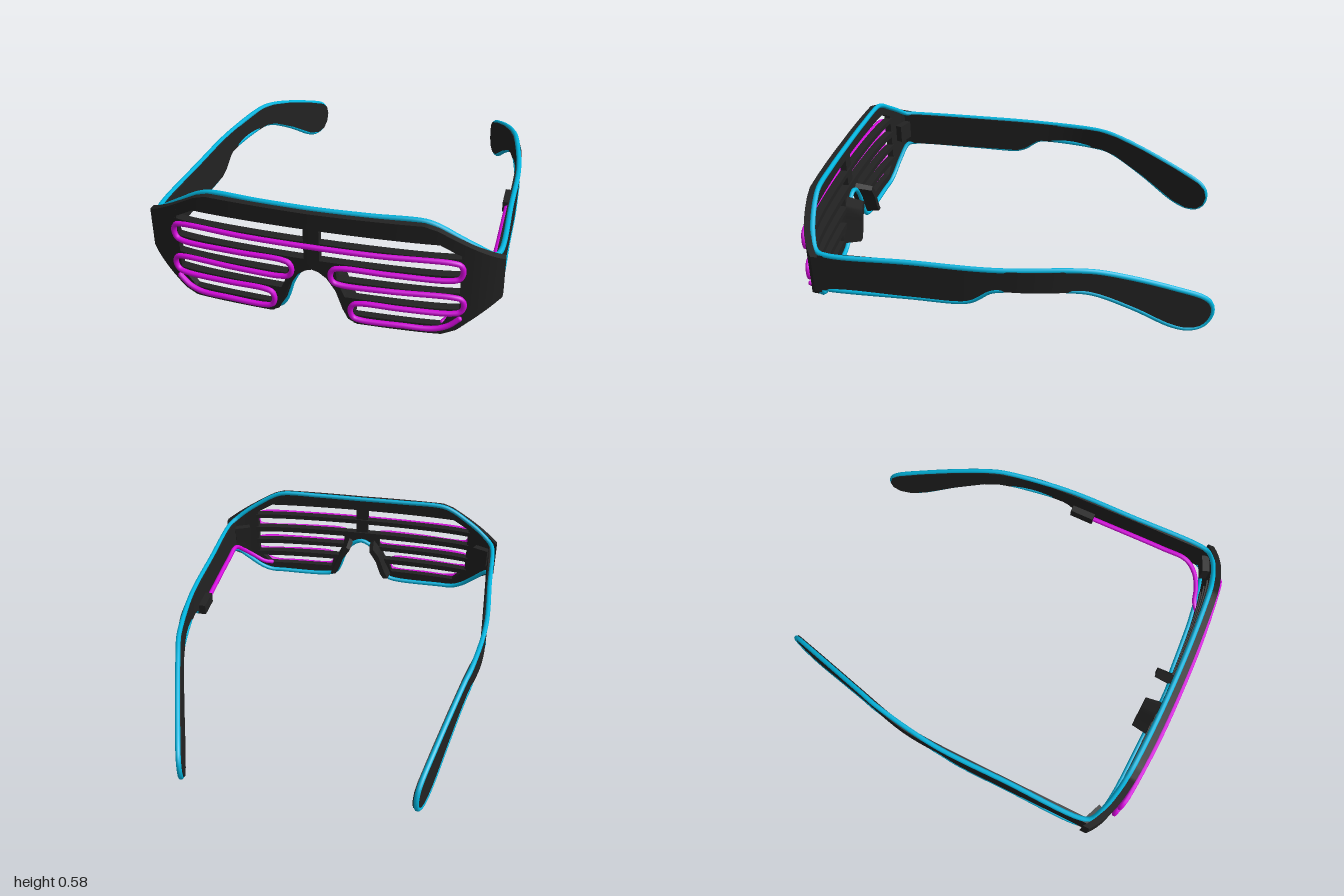
import * as THREE from 'three';
import { toCreasedNormals } from 'three/addons/utils/BufferGeometryUtils.js';

const black = new THREE.MeshStandardMaterial({ color: 0x222222 });
black.name = 'black plastic';
const cyan = new THREE.MeshStandardMaterial({ color: 0x00b6e0 });
cyan.name = 'cyan wire';
const magenta = new THREE.MeshStandardMaterial({ color: 0xd608de });
magenta.name = 'magenta wire';

const V = (x, y, z) => new THREE.Vector3(x, y, z);
// Front surface of the curved frame, and sideways position of a temple
const frontZ = (x) => 0.968 - 0.07 * x * x - 0.4 * x ** 8;
const templeX = (z) => {
  const t = -z - 0.18;
  return 0.783 - 0.15 * (t + Math.sqrt(t * t + 0.02));
};

// Mirrored copy of a point list, in reverse order
const mirror = (pts) => pts.map(([x, ...rest]) => [-x, ...rest]).reverse();
// Polyline across both sides from its right half
const across = (half) => [...mirror(half.filter(([x]) => x > 0)), ...half];

// Height of a left-to-right polyline at x
function heightAt(pts, x) {
  let i = 1;
  while (i < pts.length - 1 && pts[i][0] < x) i++;
  const [[x0, y0], [x1, y1]] = [pts[i - 1], pts[i]];
  return THREE.MathUtils.clamp((x - x0) / (x1 - x0), 0, 1) * (y1 - y0) + y0;
}

// Solid strip between two polylines, built in columns, each corner placed by a rule
function strip(lower, upper, depth, rule) {
  const start = lower[0][0];
  const end = lower[lower.length - 1][0];
  const steps = Math.ceil((end - start) / 0.03);
  const xs = [...lower, ...upper].map(([x]) => x);
  for (let i = 1; i < steps; i++) xs.push(start + ((end - start) * i) / steps);
  const columns = [...new Set(xs)].sort((a, b) => a - b);
  const position = [];
  const index = [];
  columns.forEach((x, i) => {
    const lo = heightAt(lower, x);
    const hi = heightAt(upper, x);
    for (const [y, w] of [[lo, 0], [hi, 0], [hi, depth], [lo, depth]]) position.push(...rule(x, y, w));
    if (i === 0) return;
    for (let k = 0; k < 4; k++) {
      const a = 4 * (i - 1) + k;
      const b = 4 * (i - 1) + ((k + 1) % 4);
      index.push(a, b, a + 4, b, b + 4, a + 4);
    }
  });
  const e = 4 * (columns.length - 1);
  index.push(0, 3, 2, 0, 2, 1, e, e + 1, e + 2, e, e + 2, e + 3);
  const geo = new THREE.BufferGeometry();
  geo.setAttribute('position', new THREE.Float32BufferAttribute(position, 3));
  geo.setIndex(index);
  return toCreasedNormals(geo, 0.6);
}

function add(group, name, geo, mat) {
  const mesh = new THREE.Mesh(geo, mat);
  mesh.name = name;
  group.add(mesh);
  return mesh;
}

function wire(group, name, pts, mat, segments, closed = false) {
  const curve = new THREE.CatmullRomCurve3(pts, closed);
  add(group, name, new THREE.TubeGeometry(curve, segments, 0.0125, 8, closed), mat);
  if (closed) return;
  for (const end of [pts[0], pts[pts.length - 1]]) {
    add(group, name + 'End', new THREE.SphereGeometry(0.0125, 8, 6), mat).position.copy(end);
  }
}

// Temple edges as [z, y]: the top from front to tip, the bottom from tip to front
const templeTop = [
  [0.78, 0.395], [0.4, 0.395], [0, 0.39], [-0.35, 0.39], [-0.45, 0.375], [-0.61, 0.325],
  [-0.8, 0.25], [-0.94, 0.185], [-0.975, 0.15], [-0.987, 0.105],
];
const templeBottom = [
  [-0.987, 0.105], [-0.975, 0.055], [-0.94, 0.02], [-0.88, 0.013], [-0.8, 0.042], [-0.62, 0.16],
  [-0.45, 0.255], [-0.37, 0.278], [0, 0.282], [0.03, 0.272], [0.1, 0.222], [0.15, 0.205],
  [0.4, 0.205], [0.78, 0.205],
];

export function createModel() {
  const model = new THREE.Group();
  model.name = 'shutterGlasses';

  // Curved front frame, assembled from rims, shutters and a bridge
  const frame = new THREE.Group();
  frame.name = 'frontFrame';
  model.add(frame);
  const addBar = (name, lower, upper, depth = 0.034) => add(frame, name,
    strip(lower, upper, depth, (x, y, w) => [x, y, frontZ(x) - depth + w]), black);
  const addBoth = (name, lower, upper, depth) => {
    addBar(name + 'Left', lower, upper, depth);
    addBar(name + 'Right', mirror(lower), mirror(upper), depth);
  };
  addBar('topRim', across([[0, 0.485], [0.55, 0.485], [0.65, 0.43]]),
    across([[0, 0.562], [0.25, 0.565], [0.48, 0.568], [0.54, 0.55], [0.65, 0.49]]));
  addBar('centrePost', [[-0.035, 0.31], [0.035, 0.31]], [[-0.035, 0.49], [0.035, 0.49]]);
  addBar('bridge',
    across([[0, 0.285], [0.03, 0.276], [0.065, 0.25], [0.105, 0.19], [0.135, 0.1], [0.16, 0.05], [0.2, 0.03]]),
    across([[0, 0.32], [0.104, 0.32], [0.112, 0.248], [0.12, 0.222], [0.145, 0.165],
      [0.172, 0.135], [0.19, 0.078], [0.2, 0.078]]));
  for (const [x, lo, hi] of [[0, 0.396, 0.422], [0, 0.304, 0.335], [0.112, 0.222, 0.248], [0.143, 0.135, 0.165]]) {
    addBoth('shutter', [[x, lo], [0.65, lo]], [[x, hi], [0.65, hi]], 0.042);
  }
  addBoth('bottomRim', [[0.185, 0.035], [0.2, 0.03], [0.57, 0.03], [0.63, 0.055], [0.65, 0.07]],
    [[0.185, 0.078], [0.57, 0.078], [0.62, 0.135], [0.65, 0.15]]);
  addBoth('endPiece', [[0.64, 0.063], [0.71, 0.122], [0.812, 0.205]],
    [[0.64, 0.495], [0.7, 0.462], [0.812, 0.398]]);

  // Temples, hinges and nose pads on both sides
  const alongTemple = (pts) => pts.map(([z, y]) => [-z, y]);
  const topEdge = alongTemple([[0.85, 0.395], ...templeTop]);
  const bottomEdge = alongTemple([...templeBottom, [0.85, 0.205]]).reverse();
  const padLower = [[0.05, 0.27], [0.1, 0.19], [0.13, 0.1], [0.155, 0.06], [0.187, 0.06]];
  const padUpper = [[0.05, 0.27], [0.075, 0.29], [0.115, 0.24], [0.155, 0.13], [0.187, 0.06]];
  for (const s of [1, -1]) {
    const side = s > 0 ? 'left' : 'right';
    add(model, side + 'Temple', strip(bottomEdge, topEdge, 0.026,
      (u, v, w) => [s * templeX(-u) + w - 0.013, v, -u]), black);

    const hinge = add(model, side + 'Hinge', new THREE.BoxGeometry(0.09, 0.1, 0.05), black);
    hinge.position.set(s * 0.73, 0.3, 0.85);
    hinge.rotation.y = s * 0.4;

    const [lower, upper] = s > 0 ? [padLower, padUpper] : [mirror(padLower), mirror(padUpper)];
    add(model, side + 'NosePad', strip(lower, upper, 0.1, (x, y, w) => {
      const k = 0.85 + 1.5 * w; // narrows toward the back
      return [s * 0.12 + (x - s * 0.12) * k, 0.17 + (y - 0.17) * k, 0.843 + w];
    }), black);
  }

  // Cyan wire: one loop behind the frame edge and round both temples
  const onFrame = ([x, y]) => [x, y, frontZ(x) - 0.042];
  const trimHalf = [
    ...[[0, 0.563], [0.25, 0.566], [0.48, 0.568], [0.54, 0.548], [0.62, 0.502], [0.7, 0.452]].map(onFrame),
    [0.768, 0.402, 0.832],
    ...[...templeTop, ...templeBottom.slice(1)].map(([z, y]) => [templeX(z) + 0.004, y, z]),
    [0.768, 0.198, 0.832],
    ...[[0.7, 0.126], [0.63, 0.064], [0.57, 0.035], [0.5, 0.03], [0.2, 0.03], [0.157, 0.051],
      [0.131, 0.1], [0.101, 0.19], [0.062, 0.25], [0, 0.281]].map(onFrame),
  ];
  const trim = [...trimHalf, ...mirror(trimHalf.slice(1, -1))];
  wire(model, 'edgeWire', trim.map((p) => V(...p)), cyan, 500, true);

  // Magenta wire: snakes along the shutters, turning at each end
  const turn = (x, d, y0, y1) => [
    [x - d * 0.045, y0], [x - d * 0.012, y0 - 0.011], [x, (y0 + y1) / 2],
    [x - d * 0.012, y1 + 0.011], [x - d * 0.045, y1],
  ];
  const snakeHalf = [
    [0.3, 0.41], ...turn(0.652, 1, 0.41, 0.322),
    [0.35, 0.322], ...turn(0.087, -1, 0.322, 0.237),
    [0.35, 0.237], ...turn(0.662, 1, 0.237, 0.153),
    [0.4, 0.153], ...turn(0.174, -1, 0.153, 0.065),
    [0.4, 0.065], [0.54, 0.067], [0.6, 0.088], [0.645, 0.125],
  ];
  const snake = [...mirror(snakeHalf), [0, 0.41], ...snakeHalf];
  wire(model, 'shutterWire',
    snake.map(([x, y]) => V(x, y, frontZ(x) + 0.014)), magenta, 600);

  // Lead along the inside of the left temple to a small connector
  wire(model, 'leadWire', [
    V(0.57, 0.075, 0.915), V(0.61, 0.1, 0.88), V(0.67, 0.15, 0.855), V(0.72, 0.21, 0.81),
    V(0.745, 0.265, 0.74), V(0.75, 0.265, 0.6), V(0.75, 0.26, 0.18),
  ], magenta, 60);
  add(model, 'connector', new THREE.BoxGeometry(0.042, 0.055, 0.13), black)
    .position.set(0.75, 0.262, 0.125);

  return model;
}
